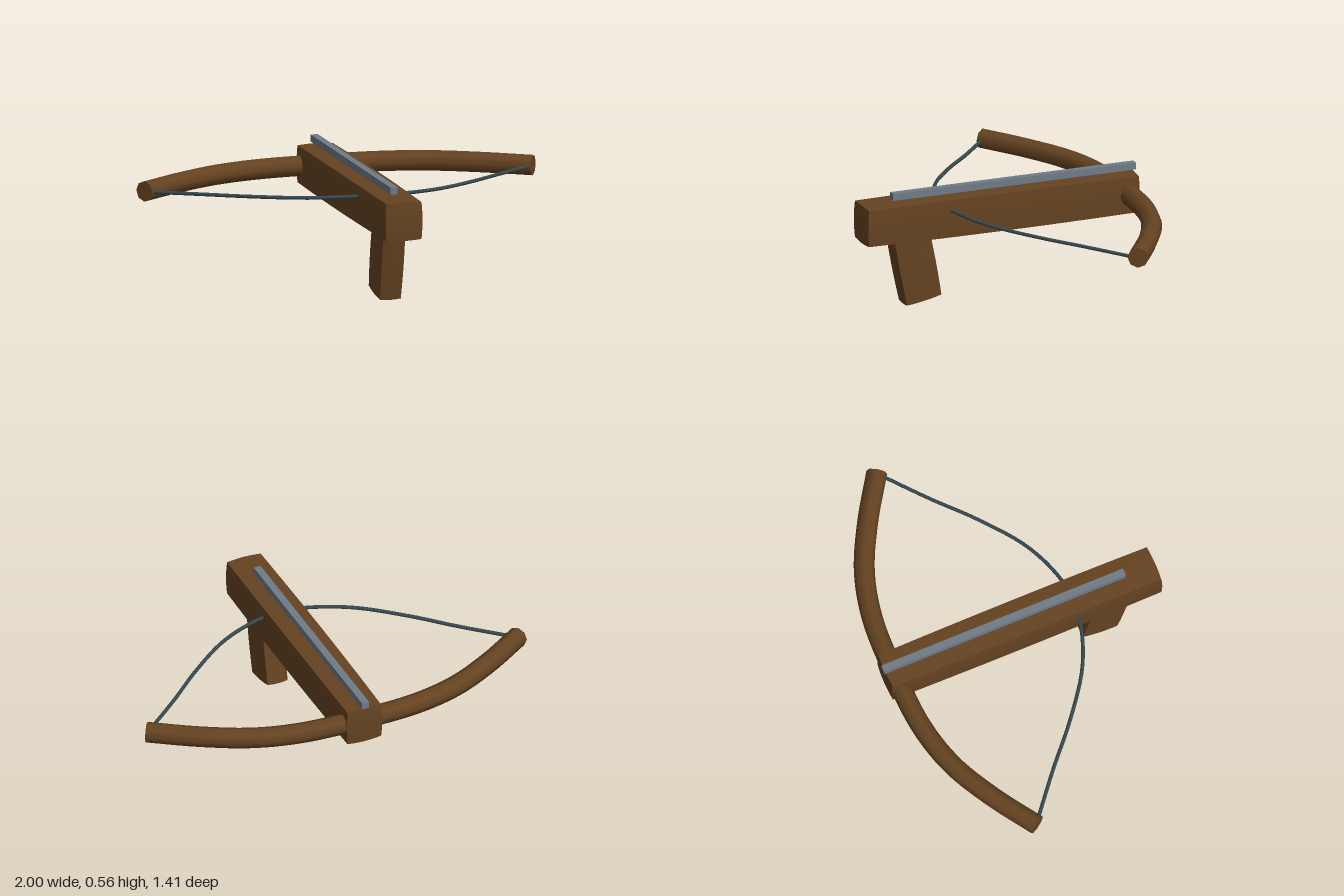
import * as THREE from 'three';

const wood = new THREE.MeshStandardMaterial({ color: 0x654321 });
wood.name = 'brown wood';
const steel = new THREE.MeshStandardMaterial({ color: 0x6f7b87 });
steel.name = 'grey steel';
const cord = new THREE.MeshStandardMaterial({ color: 0x36494f });
cord.name = 'dark cord';

const V = (x, y, z) => new THREE.Vector3(x, y, z);

function add(group, name, geometry, material) {
  const mesh = new THREE.Mesh(geometry, material);
  mesh.name = name;
  group.add(mesh);
  return mesh;
}

// Box whose faces swell gently towards their middles
function pillowBox(w, h, d, swell) {
  const g = new THREE.BoxGeometry(w, h, d, 6, 6, 6);
  const p = g.attributes.position;
  for (let i = 0; i < p.count; i++) {
    const u = p.getX(i) / w * 2, v = p.getY(i) / h * 2, t = p.getZ(i) / d * 2;
    const a = 1 - u * u, b = 1 - v * v, c = 1 - t * t;
    p.setXYZ(i,
      p.getX(i) + u * swell * (b + c) / 2,
      p.getY(i) + v * swell * (a + c) / 2,
      p.getZ(i) + t * swell * (a + b) / 2);
  }
  g.computeVertexNormals();
  return g;
}

// Curve mirrored across x = 0 from its left half, listed from the middle out
function mirroredCurve(half) {
  const left = half.map(([x, y, z]) => V(x, y, z));
  const right = left.slice(1).reverse().map((q) => V(-q.x, q.y, q.z));
  return new THREE.CatmullRomCurve3([...right, ...left]);
}

// Tube along a curve with a flat cap on each end
function rod(group, name, curve, radius, sides, material) {
  const part = new THREE.Group();
  part.name = name;
  add(part, name + 'Shaft', new THREE.TubeGeometry(curve, 48, radius, sides), material);
  for (const t of [0, 1]) {
    const cap = add(part, name + 'Cap', new THREE.CircleGeometry(radius, sides), material);
    const out = curve.getTangentAt(t).multiplyScalar(t ? 1 : -1);
    cap.position.copy(curve.getPointAt(t));
    cap.lookAt(cap.position.clone().add(out));
  }
  group.add(part);
}

export function createModel() {
  const model = new THREE.Group();
  model.name = 'crossbow';

  // Long stock
  add(model, 'stock', pillowBox(0.176, 0.18, 1.39, 0.008), wood)
    .position.set(0, 0.425, 0.004);

  // Bolt rail above the stock
  add(model, 'rail', new THREE.BoxGeometry(0.036, 0.034, 1.252), steel)
    .position.set(0, 0.543, -0.08);

  // Raked grip, its top buried in the stock
  const grip = add(model, 'grip', pillowBox(0.104, 0.4, 0.18, 0.006), wood);
  grip.position.set(0, 0.217, 0.437);
  grip.rotation.x = 0.19;

  // Curved bow limbs
  rod(model, 'bow', mirroredCurve([
    [0, 0.425, -0.645], [0.3, 0.425, -0.632], [0.53, 0.425, -0.575],
    [0.75, 0.425, -0.465], [0.972, 0.425, -0.322],
  ]), 0.05, 8, wood);

  // Drawn string running through the stock
  rod(model, 'string', mirroredCurve([
    [0, 0.467, 0.282], [0.09, 0.466, 0.272], [0.22, 0.461, 0.236],
    [0.36, 0.455, 0.17], [0.567, 0.444, 0.016], [0.74, 0.434, -0.137],
    [0.95, 0.424, -0.31],
  ]), 0.009, 8, cord);

  return model;
}
